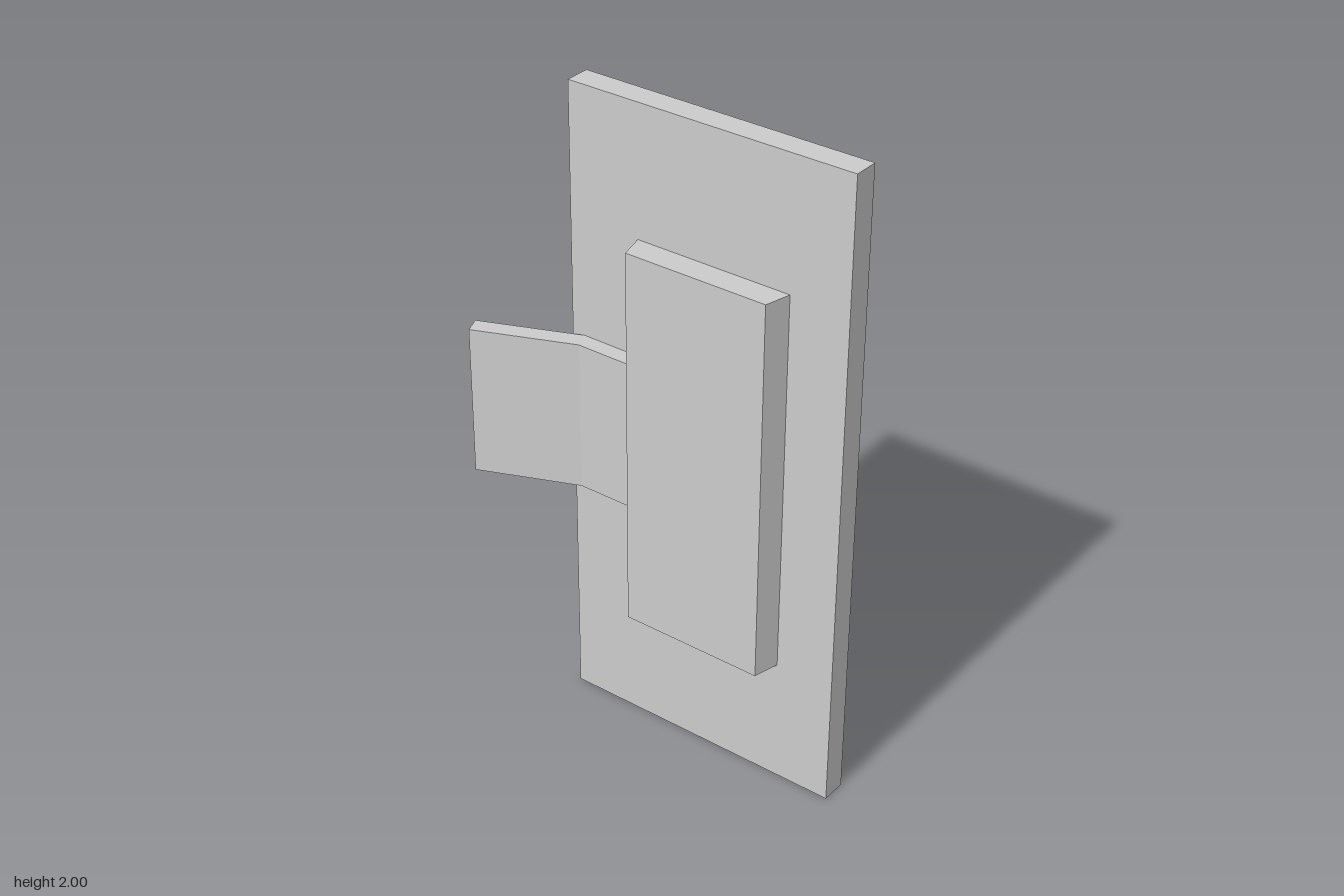
import * as THREE from 'three';

const material = new THREE.MeshStandardMaterial({ color: 0xcccccc, flatShading: true });

// Upright prism: plan outline as [x, z] points, raised from y0 to y1
function prism(name, outline, y0, y1) {
  const shape = new THREE.Shape(outline.map(([x, z]) => new THREE.Vector2(x, -z)));
  const geometry = new THREE.ExtrudeGeometry(shape, { depth: y1 - y0, bevelEnabled: false });
  geometry.rotateX(-Math.PI / 2);
  geometry.translate(0, y0, 0);
  const mesh = new THREE.Mesh(geometry, material);
  mesh.name = name;
  return mesh;
}

export function createModel() {
  const model = new THREE.Group();
  model.name = 'panelWithTab';

  // Tall flat back panel
  const panel = new THREE.Mesh(new THREE.BoxGeometry(0.91, 2, 0.078), material);
  panel.name = 'backPanel';
  panel.position.set(0.127, 1, -0.088);
  model.add(panel);

  // Raised front plate with sloping sides
  model.add(prism('frontPlate', [[-0.097, -0.049], [-0.077, 0.031], [0.377, 0.031], [0.397, -0.049]], 0.4, 1.6));

  // Tab lying along the panel, then bent forward past its edge
  model.add(prism('bentTab', [
    [-0.085, -0.049], [-0.287, -0.049], [-0.584, 0.073],
    [-0.564, 0.124], [-0.266, 0.002], [-0.085, 0.002],
  ], 0.767, 1.237));

  return model;
}
